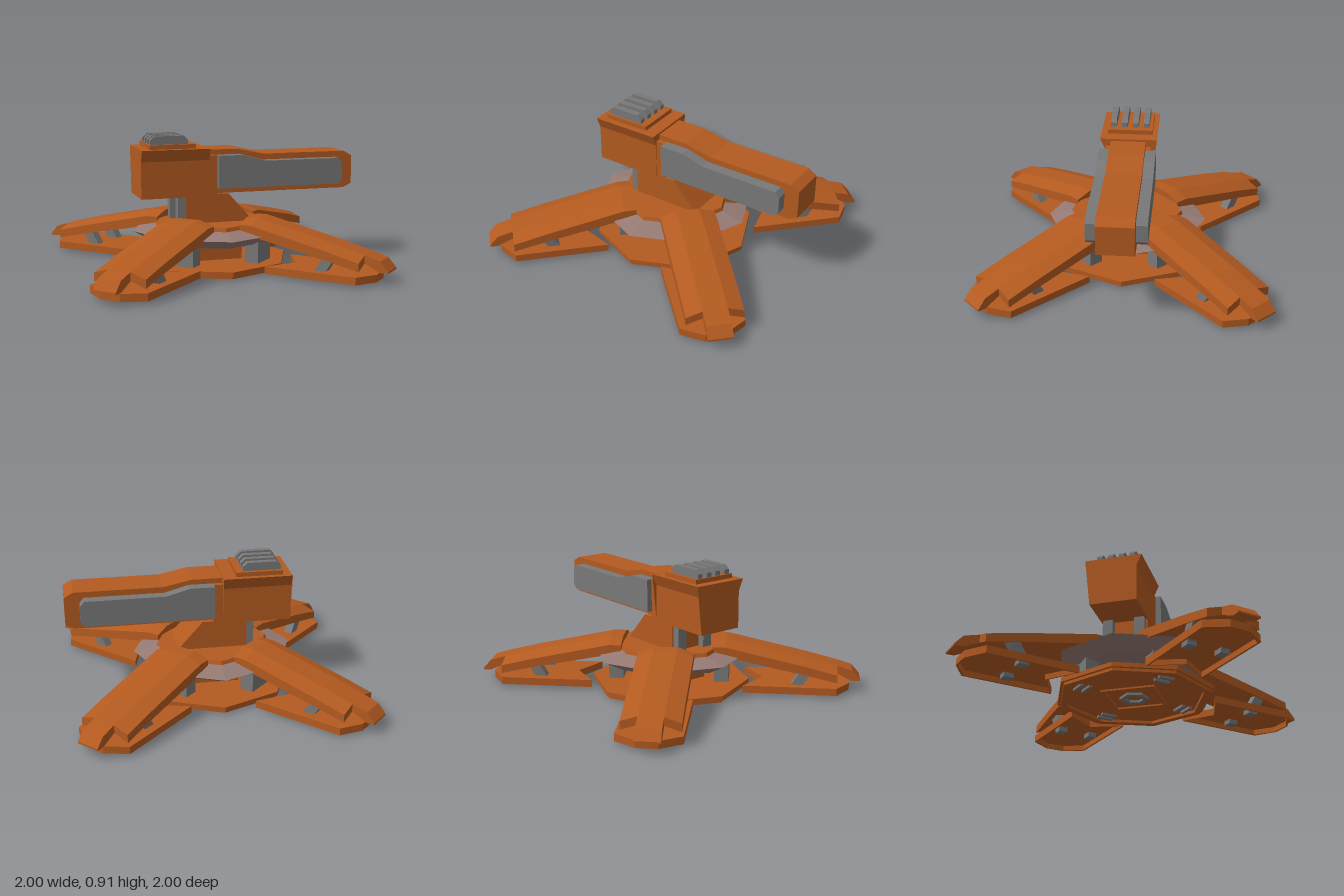
import * as THREE from 'three';

const mat = (name, color) => {
  const m = new THREE.MeshStandardMaterial({ color });
  m.name = name;
  return m;
};

export function createModel() {
  const orange = mat('burnt orange', 0xb35a20);
  const grey = mat('grey metal', 0x787878);
  const mauve = mat('mauve grey', 0x967a74);
  const model = new THREE.Group();
  model.name = 'turret';

  // Adds a facetted mesh to a parent
  const add = (parent, name, geo, material, x = 0, y = 0, z = 0) => {
    const g = geo.index ? geo.toNonIndexed() : geo;
    g.computeVertexNormals();
    const m = new THREE.Mesh(g, material);
    m.name = name;
    m.position.set(x, y, z);
    parent.add(m);
    return m;
  };
  const group = (parent, name, x = 0, y = 0, z = 0) => {
    const g = new THREE.Group();
    g.name = name;
    g.position.set(x, y, z);
    parent.add(g);
    return g;
  };
  const box = (w, h, d) => new THREE.BoxGeometry(w, h, d);
  const octagon = (top, bottom, h) => new THREE.CylinderGeometry(top, bottom, h, 8);
  const shapeOf = (pts) => new THREE.Shape(pts.map(([x, y]) => new THREE.Vector2(x, y)));

  // Side profile in x,y given width along z, centred on z = 0
  const slab = (pts, width) =>
    new THREE.ExtrudeGeometry(shapeOf(pts), { depth: width, bevelEnabled: false }).translate(0, 0, -width / 2);

  // Plan outline in x,z given height along y, standing on y = 0
  const plate = (pts, height, hole) => {
    const s = shapeOf(pts);
    if (hole) s.holes.push(shapeOf(hole));
    return new THREE.ExtrudeGeometry(s, { depth: height, bevelEnabled: false }).rotateX(-Math.PI / 2);
  };
  const polygon = (n, r) => Array.from({ length: n }, (_, i) =>
    [r * Math.cos((i * 2 * Math.PI) / n), r * Math.sin((i * 2 * Math.PI) / n)]);

  // Skin over cross-sections along x; each ring runs from +y towards +z
  const loft = (rings) => {
    const p = [];
    const n = rings[0].length;
    const tri = (a, b, c) => p.push(...a, ...b, ...c);
    for (let k = 0; k < rings.length - 1; k++) {
      const a = rings[k], b = rings[k + 1];
      for (let i = 0; i < n; i++) {
        const j = (i + 1) % n;
        tri(a[i], a[j], b[i]);
        tri(a[j], b[j], b[i]);
      }
    }
    const first = rings[0], last = rings[rings.length - 1];
    for (let i = 1; i < n - 1; i++) {
      tri(first[0], first[i + 1], first[i]);
      tri(last[0], last[i], last[i + 1]);
    }
    const g = new THREE.BufferGeometry();
    g.setAttribute('position', new THREE.Float32BufferAttribute(p, 3));
    return g;
  };

  // Base: octagonal foot with a recessed underside, column and collar
  const base = group(model, 'base', -0.01);
  add(base, 'basePlate', octagon(0.55, 0.55, 0.03), orange, 0, 0.035);
  add(base, 'baseRim', plate(polygon(8, 0.53), 0.02, polygon(8, 0.48)), orange);
  const diamond = add(base, 'baseDiamond', plate(polygon(4, 0.26), 0.012, polygon(4, 0.225)), orange, 0, 0.008);
  const hex = add(base, 'baseHexRing', plate(polygon(6, 0.1), 0.018, polygon(6, 0.06)), grey, 0, 0.002);
  diamond.rotation.y = hex.rotation.y = Math.PI / 4;
  add(base, 'column', box(0.34, 0.15, 0.34), orange, 0.01, 0.12);
  add(base, 'collarUnderside', octagon(0.55, 0.42, 0.07), mauve, 0, 0.215);
  add(base, 'collarTop', octagon(0.39, 0.55, 0.035), mauve, 0, 0.2675);
  add(base, 'hub', octagon(0.38, 0.39, 0.025), orange, 0, 0.2975);

  // Legs: arch of [radius, top height, thickness] stations
  const arch = [[0.315, 0.356, 0.08], [0.4, 0.356, 0.07], [0.94, 0.238, 0.06], [1.16, 0.183, 0.055],
    [1.265, 0.152, 0.073], [1.32, 0.09, 0.012]];
  const strip = loft(arch.map(([r, y, t]) =>
    [[r, y, -0.08], [r, y, 0.08], [r, y - t, 0.08], [r, y - t, -0.08]]));
  const wing = (s) => loft(arch.slice(0, 4).map(([r, y, t]) => {
    const inner = 0.08 * s, outer = 0.187 * s, low = y - 0.035;
    const ring = [[r, y, inner], [r, low, outer], [r, low - t, outer], [r, y - t, inner]];
    return s > 0 ? ring : ring.reverse();
  }));

  // Foot outline, and the same outline moved inwards by the wall thickness
  const footOutline = (w) => [[0.52 + w, -0.21 + w], [1.155 - w, -0.21 + w], [1.245 - w, -0.07], [1.245 - w, 0.07],
    [1.155 - w, 0.21 - w], [0.52 + w, 0.21 - w], [0.65 + w, 0]];
  const strut = [[0.84, 0.05], [0.92, 0.05], [1.0, 0.18], [0.92, 0.18]];

  for (let k = 0; k < 4; k++) {
    const leg = group(model, `leg${k + 1}`, -0.004, 0, -0.004);
    leg.rotation.y = Math.PI / 4 + (k * Math.PI) / 2;
    const arm = group(leg, 'legArch', 0, 0, -0.013);
    add(arm, 'legSpine', strip.clone(), orange);
    add(leg, 'footTop', plate(footOutline(0), 0.013), orange, 0, 0.053);
    add(leg, 'footWall', plate(footOutline(0), 0.037, footOutline(0.014)), orange, 0, 0.016);
    add(leg, 'pillar', box(0.1, 0.15, 0.19), grey, 0.367, 0.12);
    for (const s of [-1, 1]) {
      add(arm, 'legFlank', wing(s), orange);
      add(leg, 'strut', slab(strut, 0.065), grey, 0, 0, 0.12 * s);
      add(leg, 'footBolt', box(0.07, 0.035, 0.065), grey, 0.88, 0.038, 0.12 * s);
      add(leg, 'baseSlot', box(0.025, 0.02, 0.11), grey, 0.39 + 0.03 * s, 0.012);
    }
  }

  // Head: neck, housing, cooling fins and long arm
  const head = group(model, 'head', 0, 0, -0.004);
  add(head, 'neck', slab([[-0.225, 0.28], [0.28, 0.28], [0.08, 0.505], [-0.225, 0.505]], 0.31), orange);
  for (const s of [-1, 1]) add(head, 'rearPiston', box(0.05, 0.22, 0.07), grey, -0.25, 0.39, 0.11 * s);
  const housing = [[0.82, -0.195], [0.82, 0.195], [0.74, 0.16], [0.49, 0.16], [0.49, -0.16], [0.74, -0.16]];
  add(head, 'housing', loft([-0.53, -0.06].map((x) => housing.map(([y, z]) => [x, y, z]))), orange);
  add(head, 'topPlate', box(0.32, 0.03, 0.31), orange, -0.31, 0.835, -0.005);
  const fin = [[-0.46, 0.85], [-0.2, 0.85], [-0.2, 0.88], [-0.23, 0.907], [-0.43, 0.907], [-0.46, 0.88]];
  for (let i = 0; i < 4; i++) add(head, 'fin', slab(fin, 0.04), grey, 0, 0, -0.116 + i * 0.076);

  const arm = [[-0.08, 0.505], [0.94, 0.505], [1, 0.535], [1, 0.73], [0.94, 0.765], [0.34, 0.765],
    [0.15, 0.805], [-0.08, 0.805]];
  add(head, 'arm', slab(arm, 0.24), orange);
  add(head, 'armCollar', box(0.07, 0.265, 0.31), orange, -0.03, 0.6375);
  const panel = [[0, 0.545], [0.87, 0.545], [0.9, 0.575], [0.9, 0.69], [0.87, 0.725], [0.33, 0.725],
    [0.17, 0.77], [0, 0.77]];
  for (const s of [-1, 1]) add(head, 'sidePanel', slab(panel, 0.08), grey, 0, 0, 0.153 * s);

  return model;
}
